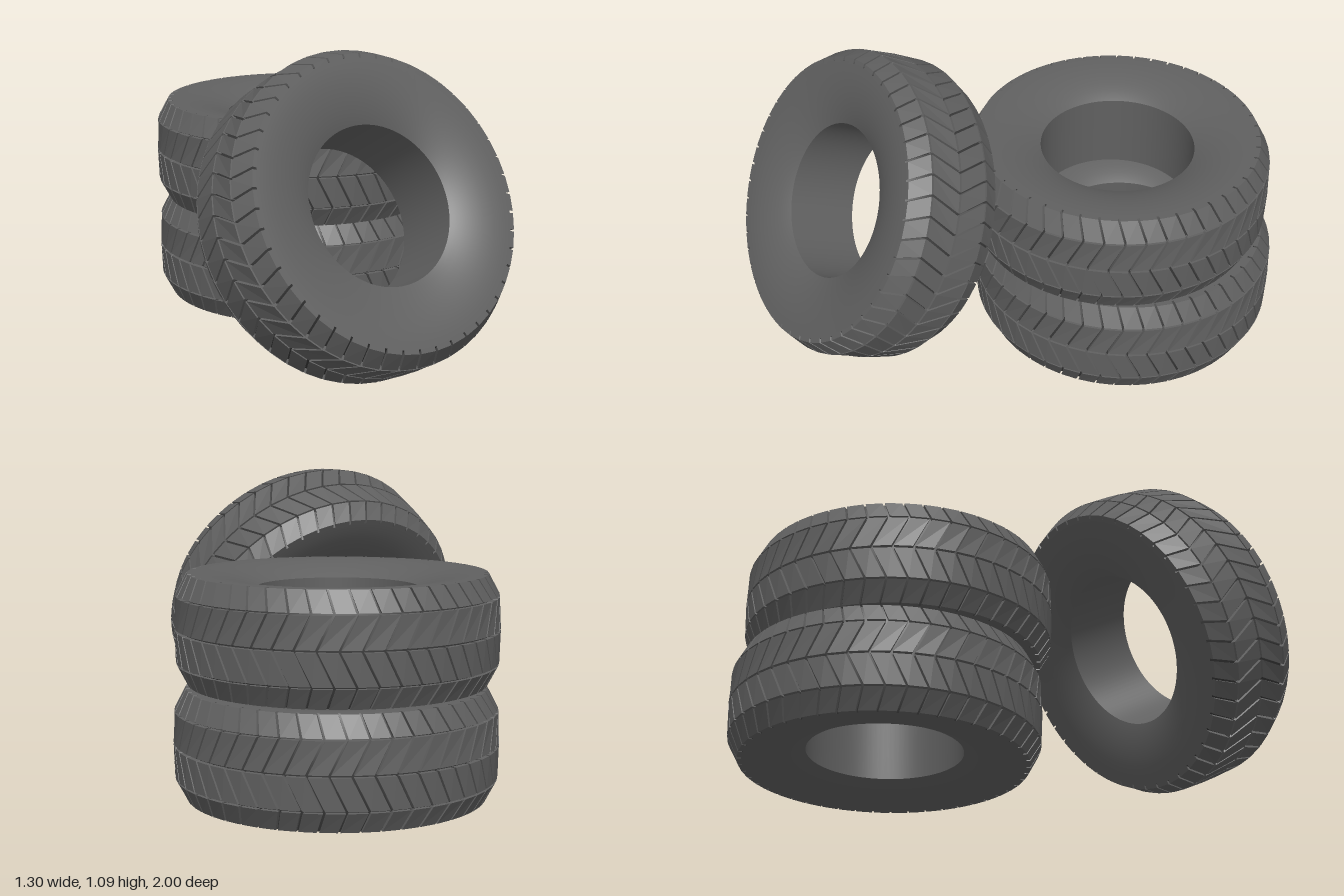
import * as THREE from 'three';
import { mergeGeometries, toCreasedNormals } from 'three/addons/utils/BufferGeometryUtils.js';

const BLOCKS = 48;              // tread blocks around each row
const DEPTH = 0.018;            // groove depth
const PITCH = (Math.PI * 2) / BLOCKS;
// tread outline across the tyre: height along the axle, radius, chevron shift
const RIBS = [
  { h: -0.19, r: 0.515, s: 0.45 },
  { h: -0.117, r: 0.554, s: 0.8 },
  { h: 0, r: 0.558, s: 0 },
  { h: 0.117, r: 0.554, s: 0.8 },
  { h: 0.19, r: 0.515, s: 0.45 },
];

const rubber = new THREE.MeshStandardMaterial({ color: 0x606060 });
const grooveRubber = new THREE.MeshStandardMaterial({ color: 0x383838 });

const lathe = (pts) => toCreasedNormals(
  new THREE.LatheGeometry(pts.map(([r, h]) => new THREE.Vector2(r, h)), 96), 0.6);

// one row of slanted blocks between two ribs, bent around the axle
function blockRow(a, b) {
  const { lerp } = THREE.MathUtils;
  const blocks = [];
  for (let i = 0; i < BLOCKS; i++) {
    const g = new THREE.BoxGeometry(1, 1, 1).toNonIndexed();
    const p = g.attributes.position;
    for (let k = 0; k < p.count; k++) {
      const outerLow = a === RIBS[0] ? 0 : 0.035;
      const outerHigh = b === RIBS[4] ? 1 : 0.965;
      const v = lerp(outerLow, outerHigh, p.getY(k) + 0.5);
      const angle = (i + p.getX(k) * 0.88 + lerp(a.s, b.s, v)) * PITCH;
      const r = lerp(a.r, b.r, v) - (p.getZ(k) < 0 ? DEPTH + 0.004 : 0);
      p.setXYZ(k, r * Math.sin(angle), lerp(a.h, b.h, v), r * Math.cos(angle));
    }
    g.computeVertexNormals();
    blocks.push(g);
  }
  return mergeGeometries(blocks);
}

// sidewall from the tread shoulder in to the bead
const SIDE = [[0.5, 0.19], [0.47, 0.19], [0.43, 0.186], [0.39, 0.179],
  [0.35, 0.168], [0.32, 0.157], [0.295, 0.146], [0.28, 0.138]];
const wallGeometry = lathe([
  ...SIDE,
  ...SIDE.map(([r, h]) => [r, -h]).reverse(),
]);
const grooveGeometry = lathe(RIBS.map(({ r, h }) => [r - DEPTH + (Math.abs(h) > 0.15 ? 0.003 : 0), h]));
const rowGeometries = RIBS.slice(1).map((rib, i) => blockRow(RIBS[i], rib));

function makeTyre(name) {
  const tyre = new THREE.Group();
  tyre.name = name;
  const add = (geometry, material, part) => {
    const mesh = new THREE.Mesh(geometry, material);
    mesh.name = part;
    tyre.add(mesh);
  };
  add(wallGeometry, rubber, 'sidewallsAndInnerRing');
  add(grooveGeometry, grooveRubber, 'treadGrooves');
  rowGeometries.forEach((g, i) => add(g, rubber, `treadRow${i + 1}`));
  return tyre;
}

export function createModel() {
  const model = new THREE.Group();
  model.name = 'tyrePile';

  // two tyres lying flat, one on the other
  const lower = makeTyre('lowerTyre');
  lower.position.set(-0.095, 0.205, -0.442);
  const upper = makeTyre('upperTyre');
  upper.position.set(-0.095, 0.592, -0.405);
  upper.rotation.y = 0.05;

  // third tyre leaning against the stack
  const leaning = makeTyre('leaningTyre');
  leaning.position.set(0.107, 0.548, 0.502);
  leaning.quaternion.setFromUnitVectors(
    new THREE.Vector3(0, 1, 0), new THREE.Vector3(0.515, 0.468, 0.718).normalize());

  model.add(lower, upper, leaning);
  return model;
}
